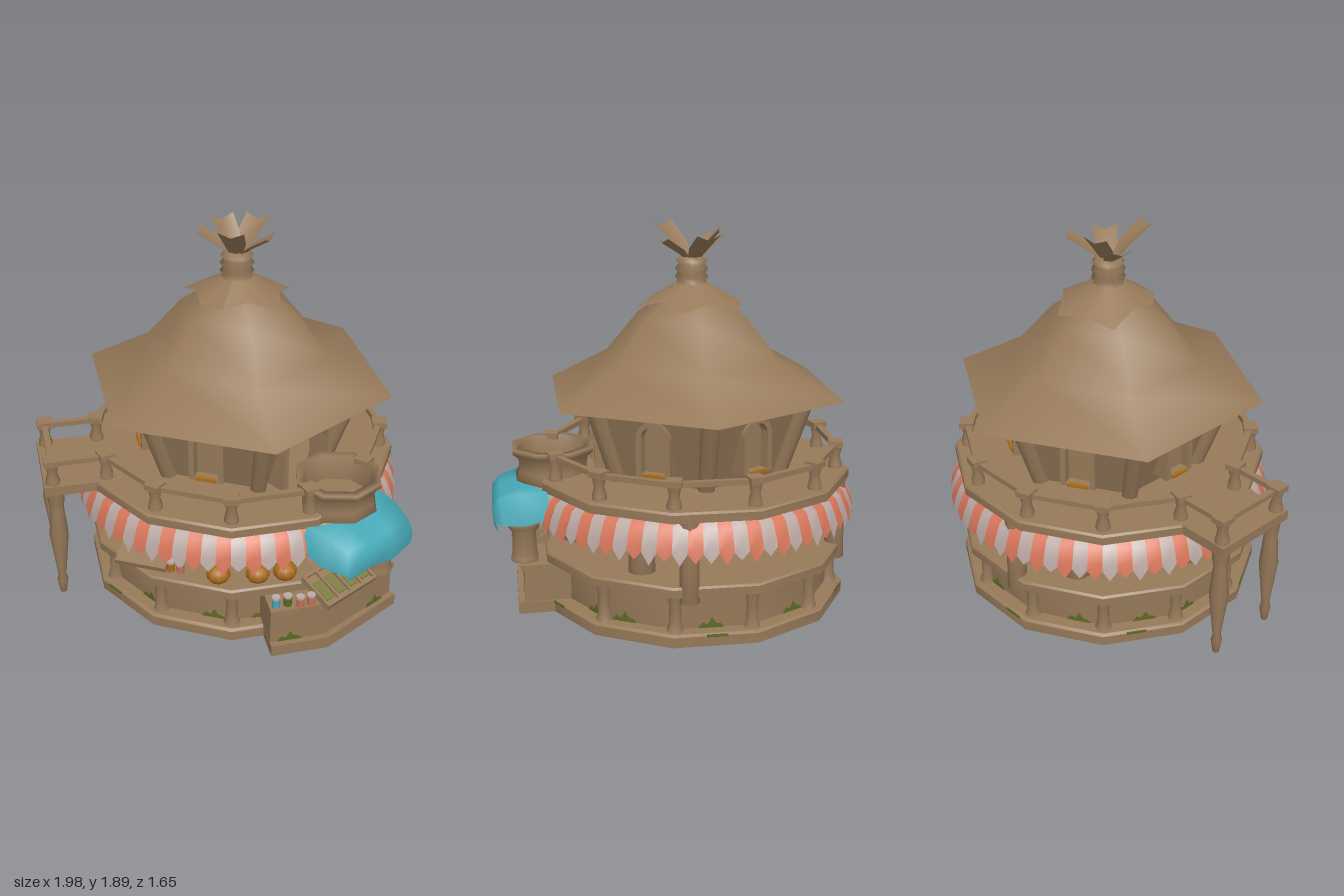
import * as THREE from 'three';
import { mergeGeometries, toCreasedNormals } from 'three/addons/utils/BufferGeometryUtils.js';

const mat = (name, color, side = THREE.FrontSide) =>
  Object.assign(new THREE.MeshStandardMaterial({ color, side }), { name });
const wood = mat('wood', 0x967959, THREE.DoubleSide);
const orange = mat('orangeCloth', 0xd8765a, THREE.DoubleSide);
const cream = mat('creamCloth', 0xbba9a4, THREE.DoubleSide);
const teal = mat('tealCloth', 0x47a9b7, THREE.DoubleSide);
const pumpkinMat = mat('pumpkin', 0xa96c1c);
const moss = mat('moss', 0x5c6a24, THREE.DoubleSide);
const produce = mat('produce', 0x7a7c40);
const jarRed = mat('jarRed', 0xc4705a);

const PI = Math.PI, STEP = PI / 6;

function add(parent, name, geo, material, x = 0, y = 0, z = 0) {
  const m = new THREE.Mesh(geo, material);
  m.name = name;
  m.position.set(x, y, z);
  parent.add(m);
  return m;
}
const box = (w, h, d) => new THREE.BoxGeometry(w, h, d);
const v2 = (pts) => pts.map(([x, y]) => new THREE.Vector2(x, y));
const lathe = (pts, n, start = 0) => new THREE.LatheGeometry(v2(pts), n, start);
// Smooth around the twelve sides, sharp across the profile
const creased = (pts) => toCreasedNormals(lathe(pts, 12, STEP / 2), 0.6);

// Group turned so that its local +z points outward at the given angle
function sector(parent, name, angle) {
  const g = new THREE.Group();
  g.name = name;
  g.rotation.y = angle;
  parent.add(g);
  return g;
}

// Open sheet through rows of [x, y, z] points
function sheet(rows) {
  const n = rows[0].length, index = [];
  for (let r = 0; r < rows.length - 1; r++)
    for (let c = 0; c < n - 1; c++) {
      const a = r * n + c;
      index.push(a, a + n, a + 1, a + 1, a + n, a + n + 1);
    }
  const g = new THREE.BufferGeometry();
  g.setAttribute('position', new THREE.Float32BufferAttribute(rows.flat(2), 3));
  g.setIndex(index);
  g.computeVertexNormals();
  return g;
}

// Round-topped outline standing on y = y0
function arch(Type, w, y0, h) {
  const s = new Type(), r = w / 2;
  s.moveTo(-r, y0);
  s.lineTo(r, y0);
  s.lineTo(r, y0 + h - r);
  s.absarc(0, y0 + h - r, r, 0, PI, false);
  s.lineTo(-r, y0);
  return s;
}
const extrude = (shape, depth) =>
  new THREE.ExtrudeGeometry(shape, { depth, bevelEnabled: false, curveSegments: 8 });

function railPost(parent, x, z) {
  add(parent, 'railPost', lathe([[0.035, 0.66], [0.035, 0.69], [0.024, 0.73], [0.034, 0.78]], 8), wood, x, 0, z);
  add(parent, 'railPostCap', box(0.075, 0.03, 0.075), wood, x, 0.795, z);
}

function jar(parent, x, y, z, material) {
  add(parent, 'jar', new THREE.CylinderGeometry(0.02, 0.02, 0.045, 8), material, x, y + 0.0225, z);
  add(parent, 'jarLid', new THREE.CylinderGeometry(0.022, 0.022, 0.012, 8), cream, x, y + 0.051, z);
}

function pumpkin(parent, x, y, z, r) {
  const g = new THREE.SphereGeometry(r, 24, 10), p = g.attributes.position;
  for (let i = 0; i < p.count; i++) {
    const k = 1 - 0.05 * (1 + Math.cos(8 * Math.atan2(p.getZ(i), p.getX(i))));
    p.setXYZ(i, p.getX(i) * k, p.getY(i) * 0.8, p.getZ(i) * k);
  }
  g.computeVertexNormals();
  add(parent, 'pumpkin', g, pumpkinMat, x, y + r * 0.8, z);
  add(parent, 'pumpkinStem', new THREE.CylinderGeometry(0.006, 0.011, 0.03, 6), wood, x, y + r * 1.65, z);
}

const mossShape = new THREE.Shape(v2([[-0.07, 0], [0.06, 0], [0.045, 0.02], [0.02, 0.025], [0, 0.055], [-0.02, 0.02], [-0.045, 0.03]]));

function buildBase(root) {
  // Hollow twelve-sided base with plinth, thin recessed wall and counter
  add(root, 'counterBase', creased([[0, 0.27], [0.685, 0.27], [0.685, 0.06], [0.745, 0.05], [0.745, 0], [0.78, 0], [0.78, 0.05],
    [0.765, 0.06], [0.7, 0.06], [0.7, 0.25], [0.785, 0.25], [0.785, 0.29], [0.775, 0.3], [0, 0.3]]), wood);
  for (let k = 0; k < 12; k++) {
    const post = sector(root, 'basePost', (k + 0.5) * STEP);
    add(post, 'basePostShaft', lathe([[0.042, 0.06], [0.03, 0.1], [0.028, 0.18], [0.04, 0.25]], 8), wood, 0, 0, 0.71);
    const side = sector(root, 'mossPatch', k * STEP);
    const x = 0.11 * Math.sin(k * 2.3 + 1);
    add(side, 'mossOnWall', new THREE.ShapeGeometry(mossShape), moss, x, 0.058, 0.682);
    if (k % 2) add(side, 'mossOnPlinth', box(0.1, 0.012, 0.006), moss, -x, 0.052, 0.755);
  }
  // Columns carrying the upper floor
  for (const s of [-1, 1])
    for (const [x, z, r] of [[0.53, 0.28, 0.07], [0.53, -0.28, 0.07], [0.47, -0.57, 0.05]])
      add(root, 'column', lathe([[0, 0.22], [r, 0.22], [r * 0.92, 0.45], [r, 0.63]], 10), wood, s * x, 0, z);
}

function buildAwning(root) {
  const parts = [[], []], n = 72, w = 2 * PI / n;
  for (let i = 0; i < n; i++) {
    const dip = 0.435 + 0.012 * Math.sin(i * 2.7);
    const row = (r, ys) => ys.map((y, c) => {
      const a = (i + c / 2) * w;
      return [r * Math.sin(a), y, r * Math.cos(a)];
    });
    parts[i % 2].push(sheet([row(0.72, [0.635, 0.635, 0.635]), row(0.785, [0.59, 0.59, 0.59]),
      row(0.815, [0.52, 0.52, 0.52]), row(0.825, [0.485, dip, 0.485])]));
  }
  add(root, 'awningOrangeStripes', mergeGeometries(parts[0]), orange);
  add(root, 'awningCreamStripes', mergeGeometries(parts[1]), cream);
}

function buildBalcony(root) {
  add(root, 'balconyDeck', creased([[0, 0.62], [0.8, 0.62], [0.8, 0.66], [0.79, 0.67], [0, 0.67]]), wood);
  for (let k = 0; k < 12; k++) {
    railPost(sector(root, 'balconyPost', (k + 0.5) * STEP), 0, 0.73);
    if (k !== 2 && k !== 10) add(sector(root, 'balconyRail', k * STEP), 'rail', box(0.38, 0.026, 0.03), wood, 0, 0.785, 0.705);
  }
  // Side platform on two hanging spindle legs
  const plat = sector(root, 'sidePlatform', -PI / 3);
  add(plat, 'platformDeck', box(0.46, 0.05, 0.42), wood, 0, 0.645, 0.805);
  add(plat, 'platformRail', box(0.42, 0.026, 0.03), wood, 0, 0.785, 0.97);
  for (const s of [-1, 1]) {
    railPost(plat, s * 0.19, 0.97);
    add(plat, 'platformSideRail', box(0.03, 0.026, 0.25), wood, s * 0.19, 0.785, 0.845);
    add(plat, 'spindleLeg', lathe([[0, 0], [0.016, 0.005], [0.028, 0.08], [0.02, 0.11], [0.048, 0.36],
      [0.034, 0.52], [0.04, 0.56], [0.046, 0.62]], 8), wood, s * 0.18, 0, 0.96);
  }
  // Round lookout bay on the other side
  const bay = sector(root, 'lookoutBay', PI / 3);
  add(bay, 'bayWall', lathe([[0.165, 0.62], [0.2, 0.64], [0.18, 0.68], [0.185, 0.75], [0.215, 0.775], [0.215, 0.8],
    [0.17, 0.8], [0.165, 0.67]], 8, PI / 8), wood, 0, 0, 0.71);
}

function buildUpperRoom(root) {
  for (let k = 0; k < 6; k++) {
    // Outward-leaning wall with an opening behind an upright arched frame
    const side = sector(root, 'upperWall', k * PI / 3);
    side.position.y = 0.62;
    const door = k === 1, w = door ? 0.27 : 0.12, y0 = door ? 0.05 : 0.13, h = door ? 0.33 : 0.235;
    const wall = new THREE.Shape(v2([[-0.214, 0], [0.214, 0], [0.295, 0.482], [-0.295, 0.482]]));
    wall.holes.push(arch(THREE.Path, w + 0.02, y0, h + 0.03));
    add(side, 'wallPanel', extrude(wall, 0.03), wood, 0, 0, 0.35).rotation.x = 0.3;
    const frame = arch(THREE.Shape, w + 0.055, y0 - 0.015, h + 0.04);
    frame.holes.push(arch(THREE.Path, w, y0, h));
    add(side, door ? 'doorFrame' : 'windowFrame', extrude(frame, 0.12), wood, 0, 0, 0.39);
    if (!door) {
      add(side, 'windowPane', new THREE.ShapeGeometry(arch(THREE.Shape, w, y0, h)), wood, 0, 0, 0.46);
      add(side, 'windowSill', box(0.1, 0.015, 0.02), pumpkinMat, 0, y0 - 0.006, 0.508);
    }
    // Leaning corner post
    const post = sector(root, 'cornerPost', (k + 0.5) * PI / 3);
    add(post, 'cornerPostShaft', new THREE.CylinderGeometry(0.05, 0.04, 0.48, 8), wood, 0, 0.855, 0.525).rotation.x = 0.32;
  }
}

function buildRoof(root) {
  add(root, 'roofUnderside', lathe([[0, 1.12], [0.55, 1.085], [0.79, 1.058]], 6, STEP), wood);
  add(root, 'roof', lathe([[0.79, 1.06], [0.47, 1.23], [0.29, 1.44], [0.14, 1.54], [0.07, 1.6]], 6, STEP), wood);
  // Ragged cap of overlapping flaps
  const radii = [0.23, 0.19, 0.28, 0.21, 0.28, 0.22, 0.28, 0.24, 0.29, 0.2, 0.23];
  const ring = (f) => [...radii, radii[0]].map((r, i) => {
    const a = i / radii.length * 2 * PI, q = f(r);
    return [q * Math.sin(a), 1.605 - 0.56 * (q - 0.07), q * Math.cos(a)];
  });
  add(root, 'roofCap', sheet([ring(() => 0.07), ring((r) => r)]), wood);
  add(root, 'boundNeck', lathe([[0.1, 1.575], [0.07, 1.61], [0.085, 1.63], [0.07, 1.65], [0.085, 1.67], [0.068, 1.69],
    [0.08, 1.71], [0.05, 1.73], [0, 1.73]], 10), wood);
  // Flared, folded leaves at the tip
  for (const [a, len, tip] of [[0.15, 1.1, 1.89], [1.45, 0.95, 1.83], [2.9, 1.1, 1.85], [4.0, 0.75, 1.87], [4.85, 1.05, 1.83]]) {
    const row = (r, y, w) => [[-w, y, r * len], [0, y - w * 0.4, r * len], [w, y, r * len]];
    add(sector(root, 'topLeaf', a), 'leafBlade',
      sheet([row(0.015, 1.71, 0.03), row(0.08, (1.71 + tip) / 2, 0.055), row(0.18, tip, 0.062)]), wood);
  }
}

// Bent street-stall outline as a prism, scaled outward from the centre
function stallPrism(scale, height) {
  const pts = [[0.3, 0.6], [0.42, 0.81], [0.665, 0.665], [0.91, 0.235], [0.66, 0.1]];
  const g = extrude(new THREE.Shape(v2(pts.map(([x, z]) => [x * scale, -z * scale]))), height);
  return toCreasedNormals(g.rotateX(-PI / 2), 0.6);
}

function buildStall(root) {
  // Street stall bent around the counter
  add(root, 'stallPlinth', stallPrism(1, 0.06), wood);
  add(root, 'stallBody', stallPrism(0.965, 0.16), wood, 0, 0.06);
  add(root, 'stallTop', stallPrism(0.98, 0.03), wood, 0, 0.22);
  add(sector(root, 'stallMossLeft', STEP), 'mossOnStall', new THREE.ShapeGeometry(mossShape), moss, 0.06, 0.058, 0.882);
  add(sector(root, 'stallMossRight', 2 * STEP), 'mossOnStall', new THREE.ShapeGeometry(mossShape), moss, 0.12, 0.058, 0.882);
  // Tilted produce crate
  const display = sector(root, 'produceDisplay', PI / 3);
  const crate = new THREE.Group();
  crate.name = 'produceCrate';
  crate.position.set(-0.1, 0.29, 0.83);
  crate.rotation.x = 0.4;
  display.add(crate);
  add(crate, 'crateBottom', box(0.34, 0.02, 0.18), wood);
  for (const s of [-1, 1]) add(crate, 'crateEdge', box(0.34, 0.03, 0.015), wood, 0, 0.01, s * 0.09);
  for (let i = 0; i < 5; i++) add(crate, 'crateDivider', box(0.015, 0.03, 0.18), wood, -0.164 + i * 0.082, 0.01, 0);
  for (let i = 0; i < 4; i++) add(crate, 'greens', box(0.05, 0.008, 0.11), produce, -0.123 + i * 0.082, 0.014, 0.01);
  for (const [x, z, m] of [[0.42, 0.74, teal], [0.47, 0.71, moss], [0.53, 0.7, jarRed], [0.575, 0.67, jarRed]])
    jar(root, x, 0.25, z, m);
  add(root, 'stallColumn', lathe([[0.07, 0.25], [0.07, 0.27], [0.062, 0.29], [0.06, 0.4], [0.08, 0.43], [0.08, 0.46],
    [0, 0.46]], 10), wood, 0.825, 0, 0.305);
  // Teal cloth draped over the stall, narrowing outward and tucked around the bay
  const cloth = sector(root, 'stallCloth', PI / 3);
  const row = (z, y, edge, half, hem = 0, tuck = 0) => [[-half - 0.03, edge, z - 0.02], [-half, y, z], [-0.07, y - 0.015 + hem, z + tuck],
    [0.08, y - 0.01 - hem, z + tuck], [half, y, z], [half + 0.03, edge, z - 0.02]];
  add(cloth, 'drapedCloth', sheet([row(0.75, 0.628, 0.5, 0.25, 0, 0.075), row(0.88, 0.615, 0.46, 0.23),
    row(0.98, 0.585, 0.46, 0.21), row(1.02, 0.54, 0.47, 0.2), row(1.01, 0.45, 0.43, 0.2, 0.02)]), teal);
}

function buildGoods(root) {
  pumpkin(root, 0.12, 0.3, 0.7, 0.06);
  pumpkin(root, 0.3, 0.3, 0.64, 0.06);
  pumpkin(root, 0.42, 0.3, 0.58, 0.06);
  for (const [x, m] of [[-0.13, pumpkinMat], [-0.08, jarRed]]) jar(root, x, 0.3, 0.68, m);
  // Tilted chopping tray with a knife
  add(root, 'tray', box(0.26, 0.03, 0.13), wood, -0.28, 0.335, 0.65).rotation.x = 0.35;
  add(root, 'knife', box(0.02, 0.1, 0.008), cream, -0.16, 0.36, 0.64).rotation.z = -0.6;
}

export function createModel() {
  const root = new THREE.Group();
  root.name = 'marketHut';
  [buildBase, buildAwning, buildBalcony, buildUpperRoom, buildRoof, buildStall, buildGoods].forEach((f) => f(root));
  return root;
}
